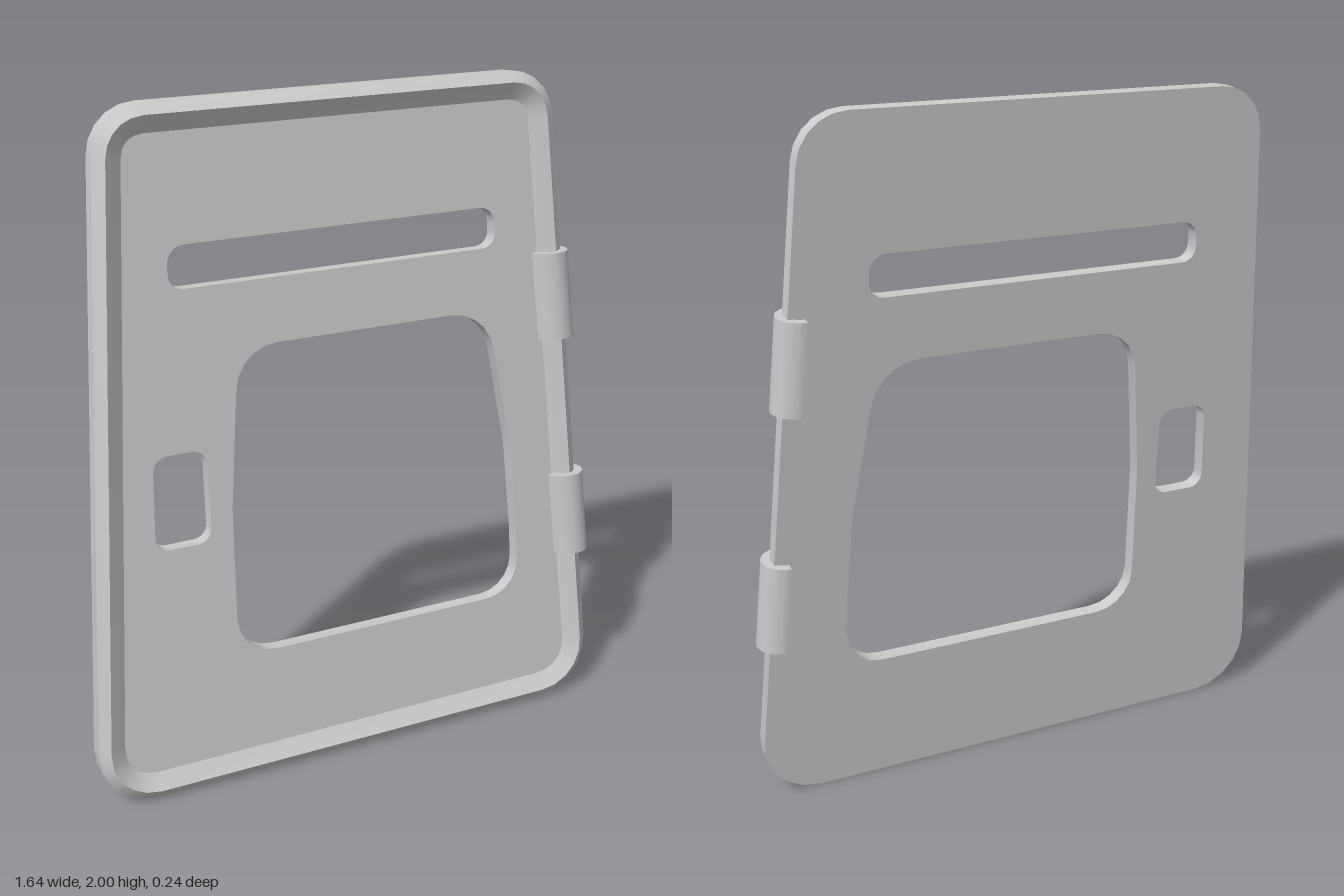
import * as THREE from 'three';
import { toCreasedNormals } from 'three/addons/utils/BufferGeometryUtils.js';

const V = (x, y) => new THREE.Vector2(x, y);
const BACK = -0.036, FLOOR = 0.007, TILT = 0.087;

// Polygon with rounded corners; each corner is [x, y, radius], counter-clockwise
function rounded(corners, segments = 5) {
  const pts = [];
  corners.forEach(([x, y, r], i) => {
    const n = corners.length;
    const p = V(x, y);
    const prev = V(...corners[(i + n - 1) % n]).sub(p).normalize();
    const next = V(...corners[(i + 1) % n]).sub(p).normalize();
    const half = Math.acos(THREE.MathUtils.clamp(prev.dot(next), -1, 1)) / 2;
    const a = p.clone().addScaledVector(prev, r / Math.tan(half));
    const b = p.clone().addScaledVector(next, r / Math.tan(half));
    const c = p.clone().addScaledVector(prev.clone().add(next).normalize(), r / Math.sin(half));
    const start = Math.atan2(a.y - c.y, a.x - c.x);
    let sweep = Math.atan2(b.y - c.y, b.x - c.x) - start;
    if (sweep < 0) sweep += Math.PI * 2;
    for (let k = 0; k <= segments; k++) {
      const t = start + (sweep * k) / segments;
      pts.push(V(c.x + r * Math.cos(t), c.y + r * Math.sin(t)));
    }
  });
  return pts;
}

// Move an outline inwards by a distance
function inset(pts, d) {
  const n = pts.length;
  return pts.map((p, i) => {
    const e1 = p.clone().sub(pts[(i + n - 1) % n]).normalize();
    const e2 = pts[(i + 1) % n].clone().sub(p).normalize();
    const n1 = V(-e1.y, e1.x), n2 = V(-e2.y, e2.x);
    const m = n1.clone().add(n2).normalize();
    return p.clone().addScaledVector(m, d / m.dot(n1));
  });
}

// Skin a set of [inset, z] rings around an outline
function ringLoft(outline, profile) {
  const pos = [], idx = [], n = outline.length;
  profile.forEach(([d, z], j) => {
    inset(outline, d).forEach((p, i) => {
      pos.push(p.x, p.y, z);
      if (j === profile.length - 1) return;
      const a = j * n + i, b = j * n + ((i + 1) % n);
      idx.push(a, b, b + n, a, b + n, a + n);
    });
  });
  const g = new THREE.BufferGeometry();
  g.setAttribute('position', new THREE.Float32BufferAttribute(pos, 3));
  g.setIndex(idx);
  return g;
}

export function createModel() {
  const material = new THREE.MeshStandardMaterial({ color: 0xcccccc });
  const model = new THREE.Group();
  model.name = 'panelAssembly';
  const tilted = new THREE.Group();
  tilted.name = 'tiltedPanel';
  tilted.rotation.x = -TILT;
  tilted.position.y = 1;
  model.add(tilted);

  const add = (name, geometry) => {
    const mesh = new THREE.Mesh(toCreasedNormals(geometry, 0.5), material);
    mesh.name = name;
    mesh.position.y = -1;
    tilted.add(mesh);
  };

  // Tapered plate with its three openings
  const outline = rounded([
    [-0.838, 0, 0.17], [0.828, 0, 0.17], [0.672, 2, 0.14], [-0.682, 2, 0.14],
  ]);
  const plate = new THREE.Shape(outline);
  const openings = [
    // wide slot
    [[-0.51, 1.5, 0.04], [0.49, 1.5, 0.04], [0.49, 1.62, 0.05], [-0.51, 1.62, 0.05]],
    // small handle opening
    [[-0.605, 0.763, 0.04], [-0.438, 0.763, 0.04], [-0.435, 1.04, 0.045], [-0.592, 1.04, 0.045]],
    // window
    [[-0.38, 0.385, 0.12], [0.565, 0.385, 0.11], [0.56, 0.6, 0.2], [0.54, 0.88, 0.5],
      [0.465, 1.315, 0.15], [-0.325, 1.315, 0.13], [-0.37, 0.85, 0.6]],
  ];
  openings.forEach((c) => plate.holes.push(new THREE.Path(rounded(c).reverse())));
  const plateGeo = new THREE.ExtrudeGeometry(plate, { depth: FLOOR - BACK, bevelEnabled: false });
  plateGeo.translate(0, 0, BACK);
  add('plate', plateGeo);

  // Raised rim: outer wall, chamfer, inner slope down to the floor
  add('rim', ringLoft(outline, [[0, FLOOR], [0, 0.01], [0.031, 0.036], [0.08, FLOOR]]));

  // C-shaped clips gripping the edge on the left side
  const R = 0.066, r = 0.04, start = Math.PI / 2, end = -2.74, height = 0.265;
  const section = new THREE.Shape();
  section.absarc(0, 0, R, start, end, true);
  section.absarc(0, 0, r, end, start, false);
  const lean = new THREE.Matrix4().makeShear(0, 0, -0.08, 0, 0, 0);
  [['upperClip', 0.681, 1.337], ['lowerClip', 0.741, 0.63]].forEach(([name, x, y]) => {
    const g = new THREE.ExtrudeGeometry(section, { depth: height, bevelEnabled: false, curveSegments: 14 });
    g.rotateX(-Math.PI / 2).translate(0, -height / 2, 0).applyMatrix4(lean).translate(x, y, -0.005);
    add(name, g);
  });

  return model;
}
